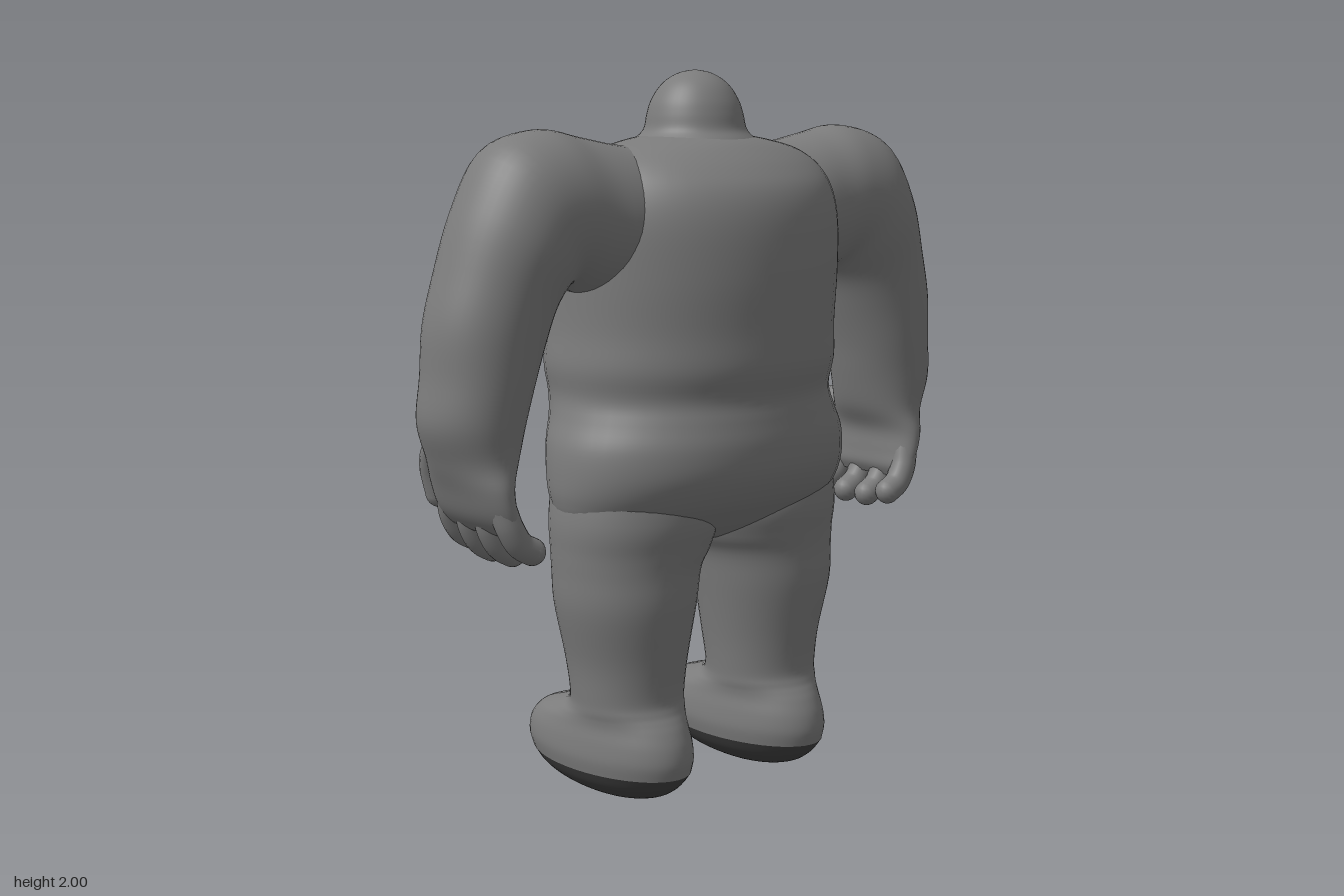
import * as THREE from 'three';

const skin = new THREE.MeshStandardMaterial({ color: 0x7c7c7c });
skin.name = 'grey skin';
const soleMat = new THREE.MeshStandardMaterial({ color: 0x404040 });
soleMat.name = 'dark sole';

// Catmull-Rom blend between neighbouring sections
function blend(a, b, c, d, t) {
  return b + 0.5 * t * (c - a + t * (2 * a - 5 * b + 4 * c - d + t * (3 * (b - c) + d - a)));
}

// Smooth body through elliptical sections, listed from bottom to top.
// Section: [xInner, yInner, xOuter, yOuter, zMax, zMin]; side -1 mirrors in x.
function loft(name, sections, material, side = 1, steps = 5, sides = 48) {
  const rows = sections.map(([x0, y0, x1, y1, za, zb]) =>
    side > 0 ? [x0, y0, x1, y1, za, zb] : [-x1, y1, -x0, y0, za, zb]);
  const at = (i) => rows[Math.min(Math.max(i, 0), rows.length - 1)];
  const pos = [], index = [];
  const count = (rows.length - 1) * steps + 1;
  for (let k = 0; k < count; k++) {
    const i = Math.floor(k / steps), t = (k % steps) / steps;
    const [x0, y0, x1, y1, za, zb] = at(i).map((v, n) =>
      blend(at(i - 1)[n], v, at(i + 1)[n], at(i + 2)[n], t));
    for (let j = 0; j < sides; j++) {
      const a = (j / sides) * Math.PI * 2, c = Math.cos(a) / 2, s = Math.sin(a) / 2;
      pos.push((x0 + x1) / 2 + (x1 - x0) * c, (y0 + y1) / 2 + (y1 - y0) * c,
        (za + zb) / 2 + (za - zb) * s);
      if (k < count - 1) {
        const p = k * sides + j, q = k * sides + (j + 1) % sides;
        index.push(p, p + sides, q, q, p + sides, q + sides);
      }
    }
  }
  const geo = new THREE.BufferGeometry();
  geo.setAttribute('position', new THREE.Float32BufferAttribute(pos, 3));
  geo.setIndex(index);
  geo.computeVertexNormals();
  const mesh = new THREE.Mesh(geo, material);
  mesh.name = name;
  return mesh;
}

// Level section centred on x: height, half width, zMax, zMin
const level = ([y, r, za, zb], cx = 0) => [cx - r, y, cx + r, y, za, zb];

// Round-ended finger along a curve
function digit(name, points, radius, side) {
  const group = new THREE.Group();
  group.name = name;
  const path = points.map(([x, y, z]) => new THREE.Vector3(side * x, y, z));
  const curve = new THREE.CatmullRomCurve3(path);
  group.add(new THREE.Mesh(new THREE.TubeGeometry(curve, 16, radius, 16), skin));
  for (const end of [path[0], path[path.length - 1]]) {
    const tip = new THREE.Mesh(new THREE.SphereGeometry(radius, 16, 12), skin);
    tip.position.copy(end);
    group.add(tip);
  }
  return group;
}

export function createModel() {
  const model = new THREE.Group();
  model.name = 'headlessFigure';

  // Torso from crotch to shoulders
  model.add(loft('torso', [
    [0.69, 0.03, 0.04, -0.04], [0.71, 0.16, 0.1, -0.09], [0.75, 0.34, 0.18, -0.16],
    [0.8, 0.44, 0.25, -0.225], [0.85, 0.465, 0.305, -0.27], [0.92, 0.47, 0.345, -0.3],
    [1.0, 0.462, 0.355, -0.315], [1.07, 0.435, 0.348, -0.335], [1.13, 0.42, 0.343, -0.36],
    [1.21, 0.428, 0.365, -0.38], [1.31, 0.42, 0.37, -0.37], [1.45, 0.42, 0.38, -0.355],
    [1.59, 0.42, 0.375, -0.335], [1.68, 0.405, 0.35, -0.305], [1.74, 0.375, 0.3, -0.25],
    [1.785, 0.31, 0.24, -0.185], [1.812, 0.21, 0.185, -0.15], [1.83, 0.1, 0.11, -0.09],
  ].map((s) => level(s)), skin));

  // Domed neck
  model.add(loft('neck', [
    [1.79, 0.2, 0.2, -0.18], [1.815, 0.165, 0.178, -0.152], [1.84, 0.142, 0.157, -0.129],
    [1.88, 0.133, 0.147, -0.12], [1.915, 0.122, 0.135, -0.109], [1.95, 0.101, 0.114, -0.088],
    [1.975, 0.075, 0.088, -0.062], [1.993, 0.04, 0.053, -0.027], [2.0, 0.001, 0.014, 0.012],
  ].map((s) => level(s)), skin));

  for (const side of [1, -1]) {
    const label = side > 0 ? 'left' : 'right';

    // Leg with foot, toes towards -z
    const leg = [
      [0.09, 0.16, 0.237, -0.357], [0.13, 0.167, 0.245, -0.373], [0.175, 0.164, 0.238, -0.362],
      [0.215, 0.157, 0.22, -0.315], [0.24, 0.154, 0.203, -0.24], [0.262, 0.154, 0.188, -0.172],
      [0.3, 0.156, 0.178, -0.149], [0.4, 0.168, 0.188, -0.163],
    ].map((s) => level(s, 0.248));
    leg.push([0.055, 0.55, 0.45, 0.55, 0.213, -0.183], [0.035, 0.65, 0.457, 0.65, 0.216, -0.19],
      [0.0, 0.71, 0.46, 0.71, 0.225, -0.2], [-0.02, 0.8, 0.462, 0.8, 0.24, -0.21],
      [0.02, 0.95, 0.44, 0.95, 0.22, -0.2]);
    model.add(loft(label + 'Leg', leg, skin, side));

    // Rounded sole
    model.add(loft(label + 'Sole', [
      [0, 0.002, -0.02, -0.03], [0.006, 0.06, 0.09, -0.13], [0.025, 0.105, 0.162, -0.25],
      [0.055, 0.139, 0.208, -0.32], [0.09, 0.16, 0.237, -0.357],
    ].map((s) => level(s, 0.248)), soleMat, side));

    // Arm from palm up and over into the shoulder
    model.add(loft(label + 'Arm', [
      [0.69, 0.805, 0.705, 0.8, 0.1, -0.1], [0.675, 0.835, 0.745, 0.815, 0.15, -0.155],
      [0.675, 0.88, 0.785, 0.86, 0.162, -0.168], [0.672, 0.94, 0.815, 0.93, 0.16, -0.168],
      [0.635, 1.01, 0.845, 1.0, 0.145, -0.158], [0.607, 1.1, 0.88, 1.1, 0.153, -0.158],
      [0.58, 1.2, 0.872, 1.22, 0.163, -0.155], [0.547, 1.3, 0.864, 1.35, 0.172, -0.158],
      [0.518, 1.38, 0.83, 1.48, 0.182, -0.16], [0.49, 1.425, 0.772, 1.65, 0.2, -0.165],
      [0.47, 1.435, 0.68, 1.8, 0.205, -0.175], [0.455, 1.43, 0.54, 1.845, 0.207, -0.18],
      [0.4, 1.41, 0.42, 1.826, 0.21, -0.185], [0.3, 1.4, 0.3, 1.804, 0.22, -0.19],
      [0.15, 1.4, 0.15, 1.79, 0.2, -0.17],
    ], skin, side));

    // Four fingers curling inwards
    [0.128, 0.042, -0.045, -0.132].forEach((z, i) => {
      const lift = i === 0 || i === 3 ? 0.018 : 0;
      model.add(digit(label + 'Finger' + (i + 1), [
        [0.735, 0.89, z * 0.92], [0.718, 0.815 + lift, z],
        [0.688, 0.768 + lift, z * 1.02], [0.652, 0.747 + lift, z * 1.02],
      ], 0.037, side));
    });

    // Thumb on the toe side of the hand
    model.add(digit(label + 'Thumb', [
      [0.735, 1.0, -0.12], [0.725, 1.0, -0.19], [0.712, 0.95, -0.225], [0.69, 0.875, -0.233],
    ], 0.042, side));
  }
  return model;
}
